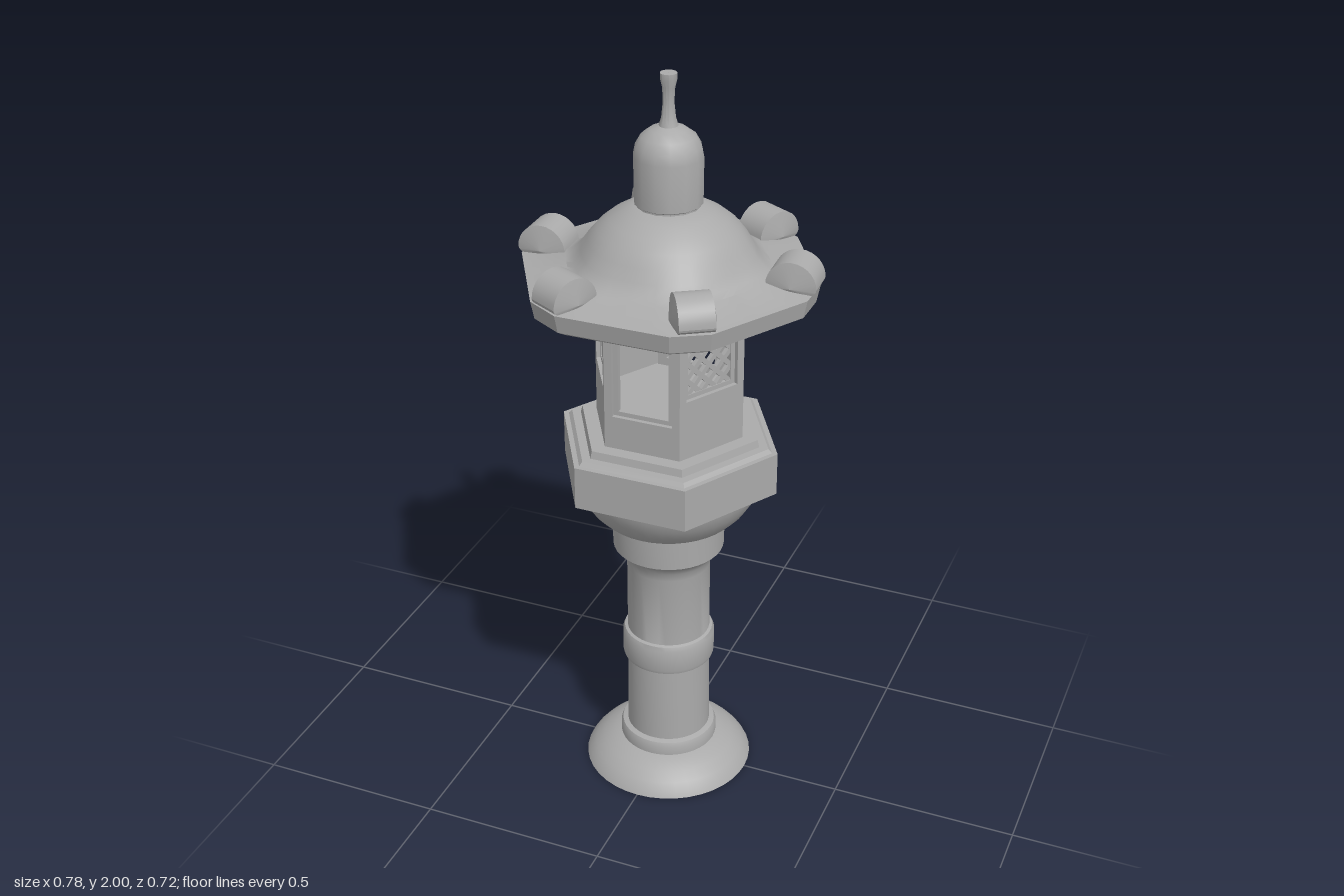
import * as THREE from 'three';
import { toCreasedNormals } from 'three/addons/utils/BufferGeometryUtils.js';

const stone = new THREE.MeshStandardMaterial({ color: 0xaaaaaa, side: THREE.DoubleSide });
stone.name = 'grey stone';

function add(parent, name, geometry, crease = 0.6) {
  const mesh = new THREE.Mesh(toCreasedNormals(geometry, crease), stone);
  mesh.name = name;
  parent.add(mesh);
  return mesh;
}

const lathe = (points, segments) =>
  new THREE.LatheGeometry(points.map(([r, y]) => new THREE.Vector2(r, y)), segments);

// Hexagonal slab with corners on the x axis
function hexSlab(parent, name, r0, r1, y0, y1) {
  const g = new THREE.CylinderGeometry(r1, r0, y1 - y0, 6);
  g.rotateY(Math.PI / 6);
  g.translate(0, (y0 + y1) / 2, 0);
  add(parent, name, g, 0.2);
}

// Rectangular panel with a rectangular hole; front face at z = 0, extruded inward
function panel(w, y0, y1, hole, depth, zFront) {
  const s = new THREE.Shape([[-w, y0], [w, y0], [w, y1], [-w, y1]].map(p => new THREE.Vector2(...p)));
  if (hole) {
    const [hw, h0, h1] = hole;
    s.holes.push(new THREE.Path([[-hw, h0], [-hw, h1], [hw, h1], [hw, h0]].map(p => new THREE.Vector2(...p))));
  }
  const g = new THREE.ExtrudeGeometry(s, { depth, bevelEnabled: false });
  g.translate(0, 0, zFront - depth);
  return g;
}

// Diagonal bars clipped to a window
function addLattice(parent, w, y0, y1, z) {
  const h = (y1 - y0) / 2;
  for (const s of [-1, 1]) {
    for (let i = -3; i <= 3; i++) {
      const c = i * 0.047;
      const a = Math.max(-w, -h - c), b = Math.min(w, h - c);
      if (b - a < 0.01) continue;
      const g = new THREE.BoxGeometry((b - a) * Math.SQRT2, 0.013, 0.012);
      g.rotateZ(s * Math.PI / 4);
      g.translate(s * (a + b) / 2, (y0 + y1) / 2 + (a + b) / 2 + c, z);
      add(parent, 'latticeBar', g);
    }
  }
}

// Roof: rings that blend from a hexagon with cut corners to a circle
function roofGeometry() {
  const rings = [ // height, apothem, roundness
    [1.45, 0.001, 0], [1.437, 0.325, 0], [1.45, 0.345, 0], [1.497, 0.354, 0], [1.515, 0.25, 0.15],
    [1.527, 0.232, 0.35], [1.55, 0.213, 0.6], [1.58, 0.195, 0.85], [1.61, 0.172, 1],
    [1.635, 0.143, 1], [1.655, 0.11, 1], [1.668, 0.08, 1], [1.67, 0.001, 1],
  ];
  const n = 48, pos = [], index = [], sixth = Math.PI / 3;
  for (const [y, ap, round] of rings) {
    for (let j = 0; j < n; j++) {
      const a = (j / n) * Math.PI * 2;
      const corner = a - Math.round(a / sixth) * sixth;
      const hex = Math.min(ap / Math.cos(sixth / 2 - Math.abs(corner)), 1.073 * ap / Math.cos(corner));
      const r = THREE.MathUtils.lerp(hex, ap * 1.03, round);
      pos.push(r * Math.cos(a), y, r * Math.sin(a));
    }
  }
  for (let i = 0; i < rings.length - 1; i++) {
    for (let j = 0; j < n; j++) {
      const a = i * n + j, b = i * n + (j + 1) % n, c = a + n, d = b + n;
      index.push(a, c, b, b, c, d);
    }
  }
  const g = new THREE.BufferGeometry();
  g.setAttribute('position', new THREE.Float32BufferAttribute(pos, 3));
  g.setIndex(index);
  return g;
}

export function createModel() {
  const model = new THREE.Group();
  model.name = 'stoneLantern';

  // Flared foot, hollow underneath
  add(model, 'foot', lathe([
    [0.23, 0], [0.222, 0.015], [0.205, 0.035], [0.18, 0.055], [0.15, 0.07], [0.133, 0.075],
    [0.133, 0.1], [0.128, 0.112], [0.114, 0.116],
  ], 40));
  const cap = new THREE.CircleGeometry(0.115, 40);
  cap.rotateX(Math.PI / 2);
  cap.translate(0, 0.112, 0);
  add(model, 'footCap', cap);

  // Round column with a middle band and a flared top
  add(model, 'column', lathe([
    [0.114, 0.11], [0.112, 0.34], [0.122, 0.345], [0.125, 0.355], [0.125, 0.418], [0.12, 0.43],
    [0.112, 0.433], [0.112, 0.64], [0.118, 0.665], [0.13, 0.685], [0.148, 0.7],
  ], 40));

  // Collar and bowl
  add(model, 'bowl', lathe([
    [0.11, 0.698], [0.148, 0.7], [0.15, 0.785], [0.185, 0.805], [0.212, 0.833],
    [0.232, 0.865], [0.245, 0.895], [0.25, 0.917],
  ], 40));

  // Hexagonal platform with two steps
  hexSlab(model, 'platform', 0.3, 0.3, 0.913, 1.03);
  hexSlab(model, 'lowerStep', 0.285, 0.275, 1.03, 1.04);
  hexSlab(model, 'upperStep', 0.25, 0.245, 1.04, 1.06);
  hexSlab(model, 'chamberFloor', 0.185, 0.185, 1.06, 1.14);

  // Fire chamber: open front and back, lattice at the front sides, plain back sides
  const R = 0.204, apothem = R * Math.cos(Math.PI / 6);
  const kinds = { 90: 'open', '-90': 'open', 30: 'lattice', 150: 'lattice', '-30': 'plain', '-150': 'plain' };
  for (const [deg, kind] of Object.entries(kinds)) {
    const wall = new THREE.Group();
    wall.name = kind + 'Wall';
    wall.rotation.y = Math.PI / 2 - THREE.MathUtils.degToRad(Number(deg));
    model.add(wall);
    const low = kind === 'open' ? 1.15 : 1.22;
    const hole = kind !== 'plain';
    add(wall, 'wallPanel', panel(R / 2, 1.055, 1.445, hole && [0.081, low, 1.37], 0.012, apothem));
    if (hole) {
      add(wall, 'windowFrame', panel(0.093, 1.06, 1.445, [0.068, low + 0.012, 1.36], 0.014, apothem - 0.011));
    }
    if (kind === 'lattice') addLattice(wall, 0.07, low + 0.01, 1.362, apothem - 0.019);
  }

  // Roof
  add(model, 'roof', roofGeometry(), 0.45);

  // Curled corner ornaments: squashed drums with pointed ends
  const corners = [
    [0.324, -0.021], [0.17, 0.268], [-0.153, 0.282], [-0.326, 0.003], [-0.165, -0.284], [0.16, -0.284],
  ];
  for (const [x, z] of corners) {
    const g = lathe([[0.001, -0.057], [0.064, -0.044], [0.064, 0.044], [0.001, 0.057]], 28);
    g.rotateX(Math.PI / 2);
    const p = g.attributes.position;
    for (let i = 0; i < p.count; i++) if (p.getY(i) < 0) p.setY(i, p.getY(i) * 0.4);
    const ornament = add(model, 'cornerOrnament', g, 0.25);
    ornament.position.set(x, 1.512, z);
    ornament.rotation.y = -Math.atan2(z, x);
  }

  // Finial with a thin flared tip
  add(model, 'finial', lathe([
    [0.08, 1.655], [0.08, 1.672], [0.086, 1.676], [0.087, 1.795], [0.082, 1.82], [0.068, 1.845],
    [0.045, 1.862], [0.024, 1.87], [0.018, 1.89], [0.014, 1.93], [0.016, 1.965], [0.021, 1.985],
    [0.021, 2], [0.001, 2],
  ], 14), 0.7);

  return model;
}
